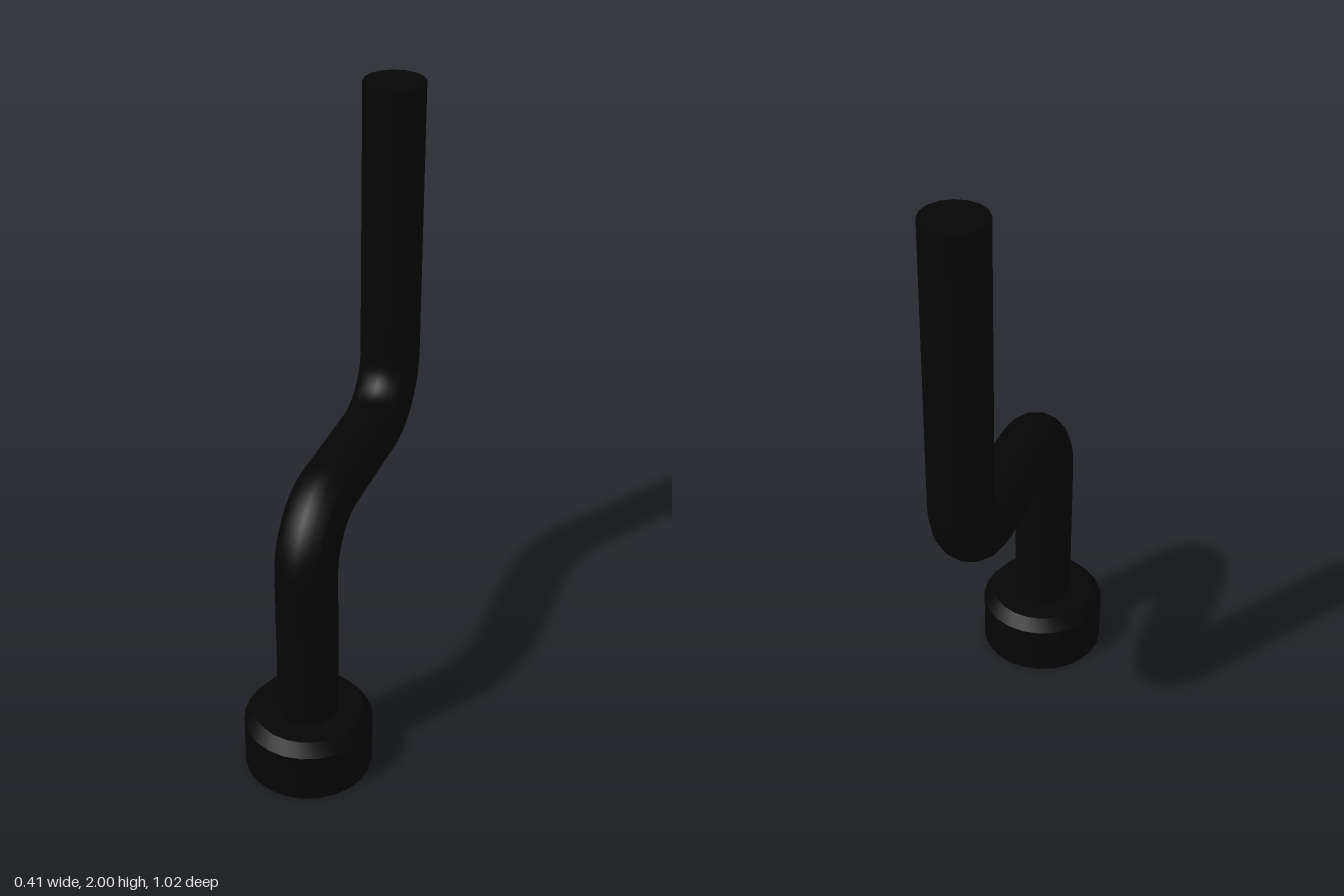
import * as THREE from 'three';
import { toCreasedNormals } from 'three/addons/utils/BufferGeometryUtils.js';

const FOOT_Z = 0.309, TOP_Z = -0.417, RADIUS = 0.095, BEND = 0.19, BAR_Y = 0.911;

// Centre line of the bent rod, drawn in the z-y plane with round bends
class RodCurve extends THREE.Curve {
  constructor() {
    super();
    this.path = new THREE.Path();
    this.path.moveTo(FOOT_Z, 0.19);
    this.path.lineTo(FOOT_Z, BAR_Y - BEND);
    this.path.absarc(FOOT_Z - BEND, BAR_Y - BEND, BEND, 0, Math.PI / 2, false);
    this.path.lineTo(TOP_Z + BEND, BAR_Y);
    this.path.absarc(TOP_Z + BEND, BAR_Y + BEND, BEND, -Math.PI / 2, -Math.PI, true);
    this.path.lineTo(TOP_Z, 2);
  }
  getPoint(t, target = new THREE.Vector3()) {
    const p = this.path.getPoint(t);
    return target.set(0, p.y, p.x);
  }
}

export function createModel() {
  const group = new THREE.Group();
  const material = new THREE.MeshStandardMaterial({ color: 0x050505 });
  const add = (name, geometry) => {
    const mesh = new THREE.Mesh(geometry, material);
    mesh.name = name;
    group.add(mesh);
    return mesh;
  };

  // Round foot with a chamfered upper rim
  const profile = [[0, 0], [0.203, 0], [0.203, 0.165], [0.172, 0.205], [0, 0.205]]
    .map(([r, y]) => new THREE.Vector2(r, y));
  const foot = new THREE.LatheGeometry(profile, 24);
  add('foot', toCreasedNormals(foot, Math.PI / 6)).position.z = FOOT_Z;

  // Double-bent rod
  add('bentRod', new THREE.TubeGeometry(new RodCurve(), 120, RADIUS, 16, false));

  // Flat end of the rod
  const cap = add('rodEnd', new THREE.CircleGeometry(RADIUS, 16));
  cap.rotation.x = -Math.PI / 2;
  cap.position.set(0, 2, TOP_Z);

  return group;
}
